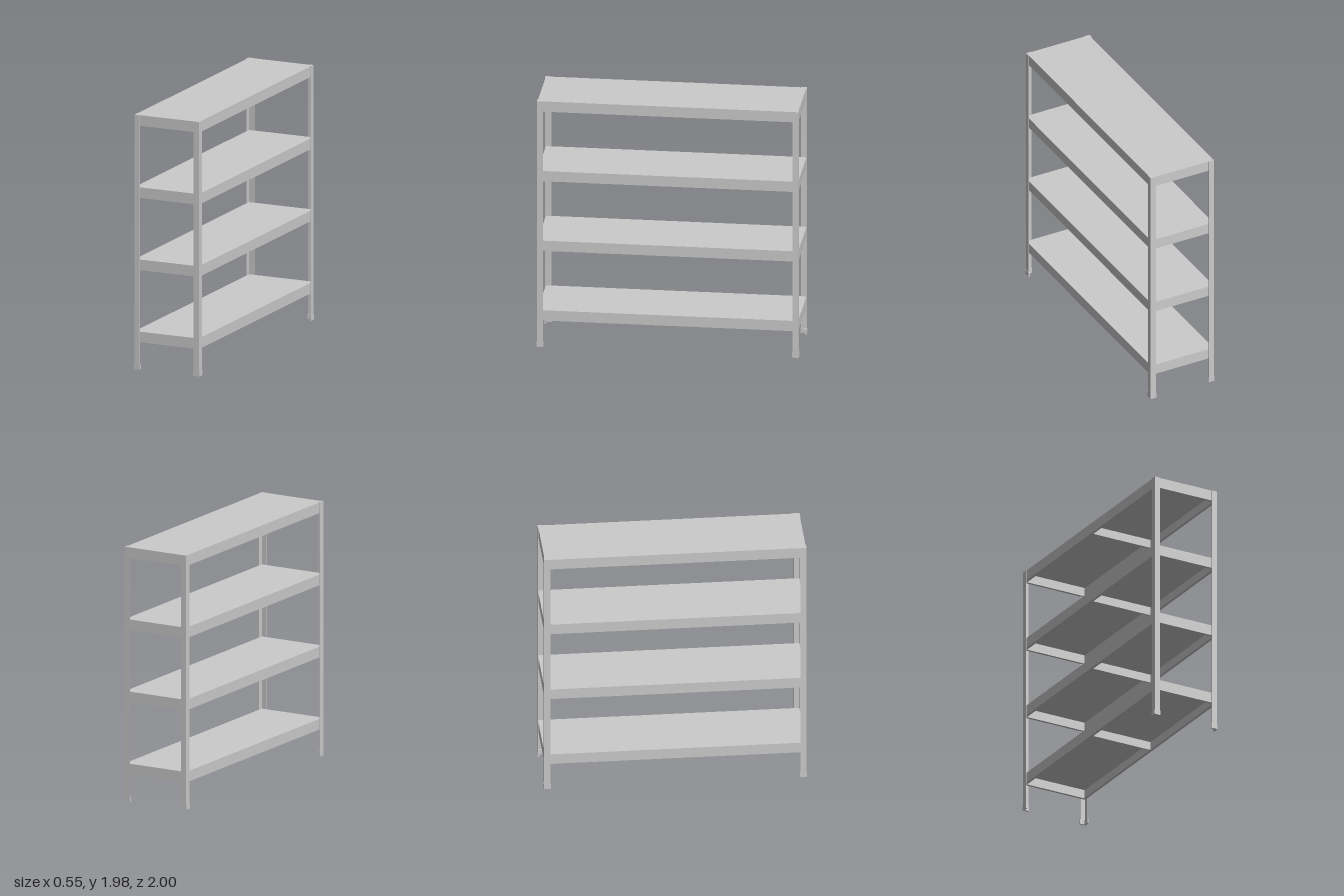
import * as THREE from 'three';

const HX = 0.275, HZ = 1, TOP = 1.985;
const mat = new THREE.MeshStandardMaterial({ color: 0xcccccc, flatShading: true });

function box(name, w, h, d, x, y, z) {
  const mesh = new THREE.Mesh(new THREE.BoxGeometry(w, h, d), mat);
  mesh.name = name;
  mesh.position.set(x, y, z);
  return mesh;
}

// L-shaped upright profile with its outer corner at (sx*hx, sz*hz), arms pointing inward
function angle(name, sx, sz, hx, hz, arm, t, y0, y1) {
  const pts = [[0, 0], [arm, 0], [arm, t], [t, t], [t, arm], [0, arm]]
    .map(([a, b]) => new THREE.Vector2(sx * (hx - a), -sz * (hz - b)));
  const geo = new THREE.ExtrudeGeometry(new THREE.Shape(pts), { depth: y1 - y0, bevelEnabled: false });
  geo.rotateX(-Math.PI / 2);
  geo.translate(0, y0, 0);
  const mesh = new THREE.Mesh(geo, mat);
  mesh.name = name;
  return mesh;
}

// Pressed shelf: thin deck, folded rims with a small return lip, and a middle brace
function createShelf(top) {
  const shelf = new THREE.Group();
  shelf.name = 'shelf';
  const hx = HX - 0.006, hz = HZ - 0.006, h = 0.083, t = 0.006, lip = 0.014;
  shelf.add(box('deck', hx * 2, t, hz * 2, 0, top - t / 2, 0));
  const rimY = top - t - (h - t) / 2, lipY = top - h + t / 2;
  for (const s of [-1, 1]) {
    shelf.add(box('sideRim', t, h - t, hz * 2, s * (hx - t / 2), rimY, 0));
    shelf.add(box('endRim', (hx - t) * 2, h - t, t, 0, rimY, s * (hz - t / 2)));
    shelf.add(box('sideLip', lip, t, (hz - t) * 2, s * (hx - t - lip / 2), lipY, 0));
    shelf.add(box('endLip', (hx - t - lip) * 2, t, lip, 0, lipY, s * (hz - t - lip / 2)));
  }
  shelf.add(box('middleBrace', (hx - t) * 2, 0.066, 0.014, 0, top - t - 0.033, 0));
  return shelf;
}

export function createModel() {
  const group = new THREE.Group();
  group.name = 'shelvingUnit';

  // Four evenly spaced shelves
  for (let i = 0; i < 4; i++) group.add(createShelf(0.295 + i * 0.563));

  // Corner posts and their foot caps
  for (const sx of [-1, 1]) for (const sz of [-1, 1]) {
    group.add(angle('post', sx, sz, HX - 0.002, HZ - 0.002, 0.046, 0.005, 0.004, TOP));
    group.add(angle('foot', sx, sz, HX, HZ, 0.052, 0.012, 0, 0.038));
  }

  // Faces of mirrored profiles must keep pointing outward
  group.traverse((o) => { if (o.isMesh) o.geometry.computeVertexNormals(); });
  return group;
}
